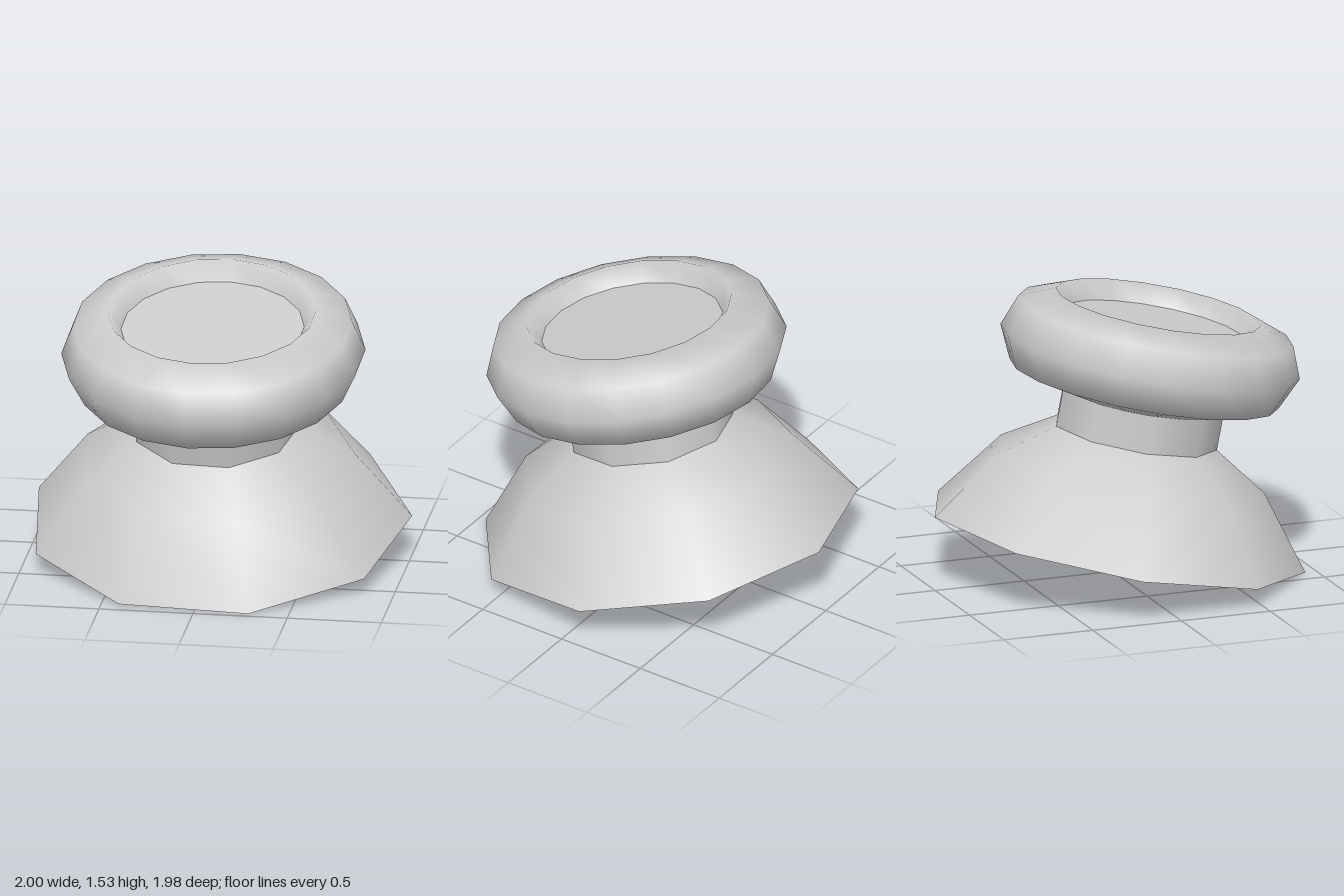
import * as THREE from 'three';

const material = new THREE.MeshStandardMaterial({ color: 0xcccccc, side: THREE.DoubleSide });
const PHASE = THREE.MathUtils.degToRad(177);

// Revolves [radius, height] pairs around the stick's axis
function revolve(name, profile, sides) {
  const points = profile.map(([r, h]) => new THREE.Vector2(r, h));
  const mesh = new THREE.Mesh(new THREE.LatheGeometry(points, sides, PHASE, Math.PI * 2), material);
  mesh.name = name;
  return mesh;
}

export function createModel() {
  const stick = new THREE.Group();
  stick.name = 'tiltedStick';

  // Open-bottomed flared skirt and short neck, nine sides each
  stick.add(revolve('skirt', [[1.016, 0], [0.728, 0.38], [0.441, 0.56]], 9));
  stick.add(revolve('neck', [[0.441, 0.56], [0.441, 0.775]], 9));

  // Rounded thumb cap: underside, bulging rim, inner lip
  stick.add(revolve('capRim', [
    [0.435, 0.765], [0.72, 0.842], [0.8, 1.015], [0.735, 1.183], [0.547, 1.26], [0.482, 1.16],
  ], 18));

  // Flat recessed floor of the cap
  stick.add(revolve('capFloor', [[0.482, 1.16], [0, 1.16]], 18));

  // The whole stick leans towards the front
  stick.rotation.x = THREE.MathUtils.degToRad(11.2);
  stick.position.set(-0.01, 0.19, 0.01);

  const model = new THREE.Group();
  model.name = 'thumbstick';
  model.add(stick);
  return model;
}
